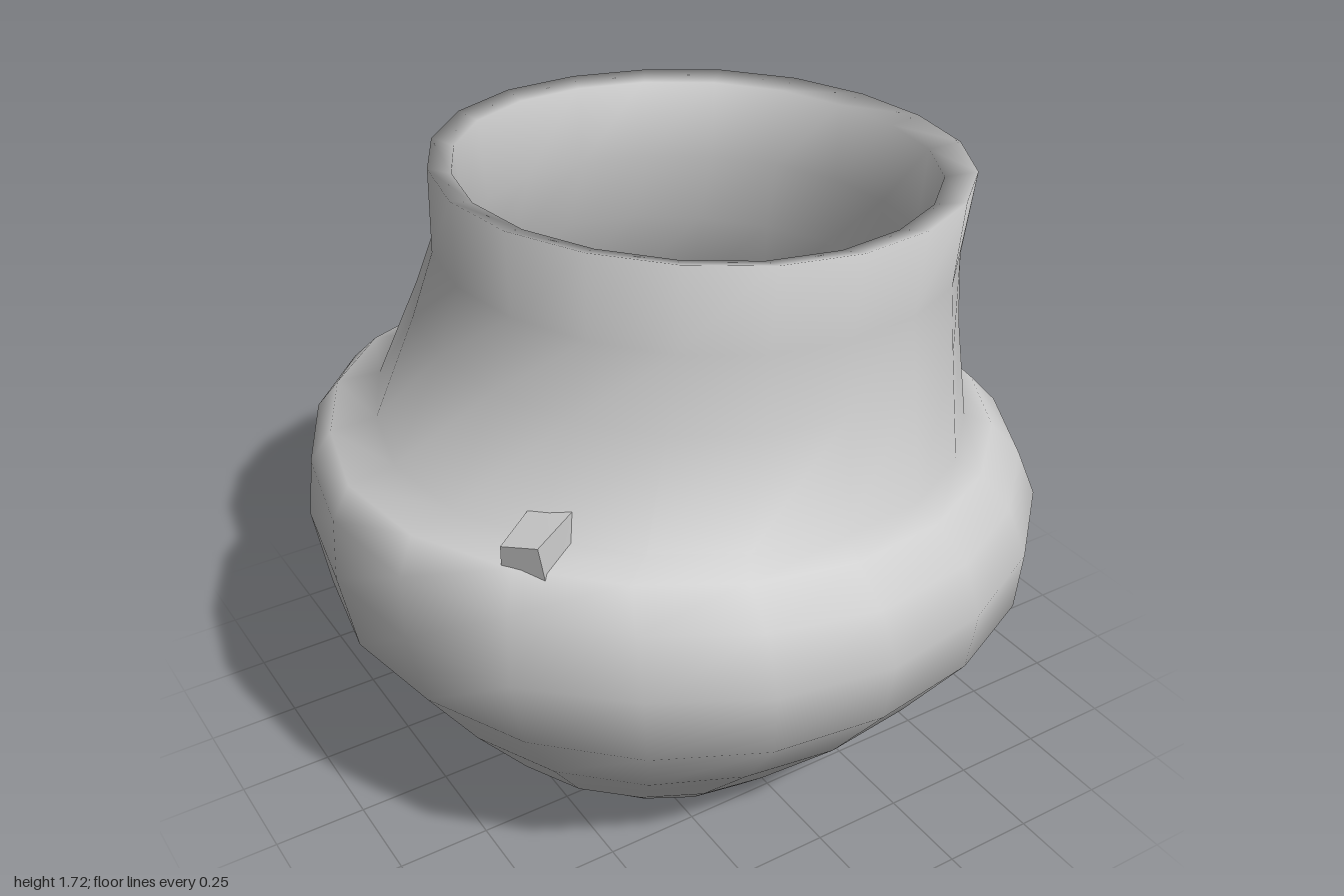
import * as THREE from 'three';

const SEGMENTS = 20;

// Outer cross-sections from foot to lip: y, min x, max x, min z, max z
const OUTER = [
  [0.01, -0.51, 0.36, -0.45, 0.47],
  [0.1, -0.61, 0.48, -0.53, 0.56],
  [0.34, -0.8, 0.79, -0.74, 0.79],
  [0.58, -0.96, 0.96, -0.91, 0.97],
  [0.76, -0.99, 0.98, -1.0, 1.0],
  [0.9, -0.975, 0.94, -0.96, 0.95],
  [0.985, -0.92, 0.87, -0.86, 0.86],
  [1.0, -0.79, 0.8, -0.8, 0.775],
  [1.28, -0.67, 0.76, -0.71, 0.71],
  [1.46, -0.61, 0.75, -0.66, 0.67],
  [1.68, -0.61, 0.79, -0.67, 0.67],
];

// Inner cross-sections from lip down to floor
const INNER = [
  [1.665, -0.55, 0.7, -0.61, 0.605],
  [1.45, -0.54, 0.68, -0.59, 0.6],
  [1.25, -0.59, 0.68, -0.63, 0.63],
  [0.98, -0.72, 0.73, -0.72, 0.72],
  [0.76, -0.9, 0.89, -0.91, 0.91],
  [0.55, -0.86, 0.86, -0.81, 0.87],
  [0.34, -0.71, 0.7, -0.65, 0.7],
  [0.13, -0.48, 0.38, -0.42, 0.45],
];

// Dents and swellings on the outside: angle, y, radial amount
const BUMPS = [
  [-0.76, 0.62, -0.05],
  [-0.72, 0.88, 0.04],
  [0.2, 1.15, -0.03],
  [2.5, 0.72, 0.03],
  [3.0, 1.02, 0.03],
  [-2.0, 0.85, 0.02],
];

function bumpAt(angle, y) {
  let sum = 0;
  for (const [a, h, amount] of BUMPS) {
    const d = Math.atan2(Math.sin(angle - a), Math.cos(angle - a));
    sum += amount * Math.exp(-((d / 0.22) ** 2) - ((y - h) / 0.13) ** 2);
  }
  return sum;
}

// One continuous skin: foot, outside, lip, inside, floor
function potGeometry() {
  const rings = [...OUTER, ...INNER];
  const positions = [];
  const indices = [];
  rings.forEach(([y, x0, x1, z0, z1], i) => {
    const cx = (x0 + x1) / 2, cz = (z0 + z1) / 2;
    for (let j = 0; j < SEGMENTS; j++) {
      const a = (j / SEGMENTS) * Math.PI * 2;
      const swell = i < OUTER.length ? bumpAt(a, y) : 0;
      const wobble = 1 + 0.006 * Math.sin(a * 5 + y * 7);
      const x = cx + Math.cos(a) * ((x1 - x0) / 2 * wobble + swell);
      const z = cz + Math.sin(a) * ((z1 - z0) / 2 * wobble + swell);
      // shoulder and lip lean down toward +x
      const lean = -0.055 * (x - 0.09) * THREE.MathUtils.smoothstep(y, 0.6, 1);
      positions.push(x, y + lean, z);
    }
  });
  for (let i = 0; i < rings.length - 1; i++) {
    for (let j = 0; j < SEGMENTS; j++) {
      const k = (j + 1) % SEGMENTS;
      const a = i * SEGMENTS + j, b = i * SEGMENTS + k;
      indices.push(a, a + SEGMENTS, b, b, a + SEGMENTS, b + SEGMENTS);
    }
  }
  // close underside and inner floor
  const under = positions.length / 3;
  positions.push(-0.07, 0, 0.01, -0.05, 0.08, 0.01);
  const last = (rings.length - 1) * SEGMENTS;
  for (let j = 0; j < SEGMENTS; j++) {
    const k = (j + 1) % SEGMENTS;
    indices.push(under, j, k, under + 1, last + k, last + j);
  }
  const geometry = new THREE.BufferGeometry();
  geometry.setAttribute('position', new THREE.Float32BufferAttribute(positions, 3));
  geometry.setIndex(indices);
  geometry.computeVertexNormals();
  return geometry;
}

// Worn lug: a block narrowing toward its top and outer face
function lugGeometry(width, height, depth) {
  const geometry = new THREE.BoxGeometry(width, height, depth);
  const p = geometry.attributes.position;
  for (let i = 0; i < p.count; i++) {
    const top = p.getY(i) > 0, outside = p.getX(i) > 0;
    if (top) p.setZ(i, p.getZ(i) * 0.75);
    if (outside) p.setZ(i, p.getZ(i) * 0.85);
    if (outside && !top) p.setX(i, p.getX(i) * 0.7);
    if (top && p.getZ(i) > 0) p.setY(i, p.getY(i) * 0.8);
  }
  geometry.computeVertexNormals();
  return geometry;
}

export function createModel() {
  const model = new THREE.Group();
  const material = new THREE.MeshStandardMaterial({ color: 0xcccccc });

  const pot = new THREE.Mesh(potGeometry(), material);
  pot.name = 'pot';
  model.add(pot);

  // Two broken lugs on opposite shoulders
  const addLug = (name, size, x, y, z) => {
    const lug = new THREE.Mesh(lugGeometry(...size), material);
    lug.name = name;
    lug.position.set(x, y, z);
    lug.rotation.y = Math.atan2(-z, x);
    model.add(lug);
  };
  addLug('leftLug', [0.16, 0.18, 0.19], 0.8, 0.93, -0.31);
  addLug('rightLug', [0.18, 0.18, 0.15], -0.67, 1.02, 0.48);

  return model;
}
